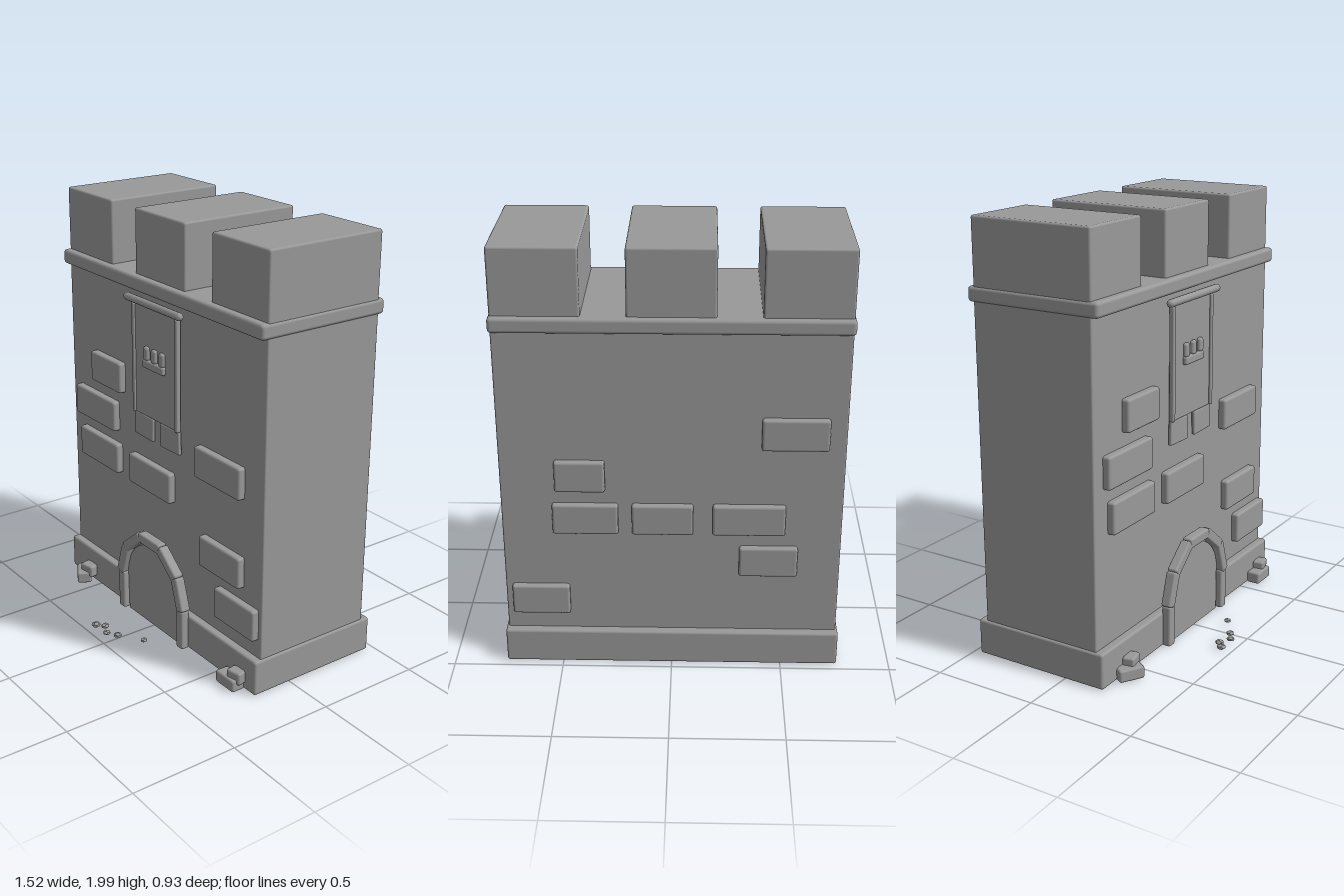
import * as THREE from 'three';
import { RoundedBoxGeometry } from 'three/addons/geometries/RoundedBoxGeometry.js';

export function createModel() {
  const root = new THREE.Group();
  root.name = 'castleWall';
  const stone = new THREE.MeshStandardMaterial({ color: 0x999999 });
  stone.name = 'stoneGrey';

  const add = (name, geometry, parent = root) => {
    const mesh = new THREE.Mesh(geometry, stone);
    mesh.name = name;
    parent.add(mesh);
    return mesh;
  };
  const group = (name) => {
    const g = new THREE.Group();
    g.name = name;
    root.add(g);
    return g;
  };
  // Softly bevelled block given by its extents on each axis
  const block = (name, [x0, x1], [y0, y1], [z0, z1], bevel, parent) => {
    const mesh = add(name, new RoundedBoxGeometry(x1 - x0, y1 - y0, z1 - z0, 2, bevel), parent);
    mesh.position.set((x0 + x1) / 2, (y0 + y1) / 2, (z0 + z1) / 2);
    return mesh;
  };

  // Main wall, plinth and cornice
  block('wallBody', [-0.75, 0.75], [0.05, 1.69], [-0.43, 0.165], 0.008);
  block('plinth', [-0.76, 0.76], [0.012, 0.18], [-0.467, 0.203], 0.012);
  block('cornice', [-0.757, 0.757], [1.637, 1.705], [-0.457, 0.2], 0.016);

  // Battlements
  const merlons = group('merlons');
  for (const x of [-0.563, 0, 0.563]) {
    block('merlon', [x - 0.187, x + 0.187], [1.69, 2], [-0.43, 0.165], 0.01, merlons);
  }

  // Raised stones: [centre x, centre y, width]
  const frontStones = [
    [-0.41, 1.18, 0.25], [-0.512, 0.97, 0.34], [-0.486, 0.76, 0.33], [-0.055, 0.76, 0.33],
    [0.46, 0.97, 0.32], [0.48, 0.55, 0.29], [0.59, 0.34, 0.28],
  ];
  const backStones = [
    [0.4, 0.97, 0.22], [0.38, 0.76, 0.29], [0.04, 0.76, 0.27], [-0.34, 0.76, 0.32],
    [-0.53, 1.18, 0.29], [-0.43, 0.55, 0.26], [0.59, 0.34, 0.26],
  ];
  const layStones = (name, list, z) => {
    const g = group(name);
    for (const [x, y, w] of list) {
      block('raisedStone', [x - w / 2, x + w / 2], [y - 0.074, y + 0.074], z, 0.012, g);
    }
  };
  layStones('frontStones', frontStones, [0.13, 0.2]);
  layStones('backStones', backStones, [-0.457, -0.39]);

  // Arched door
  const doorShape = new THREE.Shape();
  doorShape.moveTo(-0.21, 0.012);
  doorShape.lineTo(0.21, 0.012);
  doorShape.lineTo(0.21, 0.21);
  doorShape.absarc(0, 0.21, 0.215, 0, Math.PI, false);
  doorShape.lineTo(-0.21, 0.012);
  const door = add('door', new THREE.ExtrudeGeometry(doorShape, {
    depth: 0.022, bevelEnabled: false, curveSegments: 16,
  }));
  door.position.z = 0.192;

  // Door surround: jambs and five straight arch stones
  const arch = group('doorArch');
  for (const s of [-1, 1]) {
    block('jamb', [s * 0.242 - 0.024, s * 0.242 + 0.024], [0.012, 0.21], [0.195, 0.24], 0.01, arch);
  }
  const path = [[0.25, 0.21], [0.203, 0.357], [0.08, 0.457], [-0.08, 0.457], [-0.203, 0.357], [-0.25, 0.21]];
  for (let i = 0; i < 5; i++) {
    const [ax, ay] = path[i];
    const [bx, by] = path[i + 1];
    const length = Math.hypot(bx - ax, by - ay) + 0.008;
    const s = add('archStone', new RoundedBoxGeometry(length, 0.05, 0.05, 2, 0.01), arch);
    s.position.set((ax + bx) / 2, (ay + by) / 2, 0.22);
    s.rotation.z = Math.atan2(by - ay, bx - ax);
  }

  // Hanging banner with rod, edging, two tails and a crown emblem
  const banner = group('banner');
  const rod = add('bannerRod', new THREE.CapsuleGeometry(0.018, 0.4, 4, 12), banner);
  rod.rotation.z = Math.PI / 2;
  rod.position.set(-0.002, 1.602, 0.2);
  block('bannerCloth', [-0.17, 0.17], [1.06, 1.59], [0.172, 0.19], 0.005, banner);
  for (const s of [-1, 1]) {
    block('bannerEdge', [s * 0.166 - 0.01, s * 0.166 + 0.01], [1.06, 1.58], [0.175, 0.2], 0.006, banner);
    const tail = block('bannerTail', [s * 0.102 - 0.073, s * 0.102 + 0.073], [0.948, 1.06], [0.172, 0.19], 0.006, banner);
    tail.rotation.z = s * 0.03;
  }
  block('crownBand', [-0.08, 0.08], [1.3, 1.34], [0.183, 0.21], 0.01, banner);
  for (const x of [-0.06, 0, 0.06]) {
    block('crownPoint', [x - 0.018, x + 0.018], [1.335, 1.4], [0.183, 0.208], 0.012, banner);
  }

  // Fallen stones at both corners
  const rubble = group('rubble');
  const leftLow = block('rubbleStone', [-0.66, -0.54], [0.012, 0.07], [0.2, 0.27], 0.01, rubble);
  leftLow.rotation.y = -0.55;
  const leftHigh = block('rubbleStone', [-0.605, -0.525], [0.045, 0.105], [0.195, 0.25], 0.01, rubble);
  leftHigh.rotation.y = 0.2;
  block('rubbleStone', [0.56, 0.685], [0.012, 0.07], [0.2, 0.267], 0.01, rubble);
  const rightHigh = block('rubbleStone', [0.62, 0.695], [0.045, 0.105], [0.195, 0.25], 0.01, rubble);
  rightHigh.rotation.y = 0.2;

  // Scattered pebbles in front of the door
  const pebbles = group('pebbles');
  const spots = [[0.1, 0.34, 0.017], [-0.01, 0.415, 0.02], [-0.06, 0.444, 0.019], [-0.116, 0.417, 0.021], [-0.152, 0.446, 0.022]];
  spots.forEach(([x, z, r], i) => {
    const p = add('pebble', new THREE.DodecahedronGeometry(r, 0), pebbles);
    p.position.set(x, 0.022, z);
    p.scale.y = 0.55;
    p.rotation.y = i * 1.1;
  });

  return root;
}
